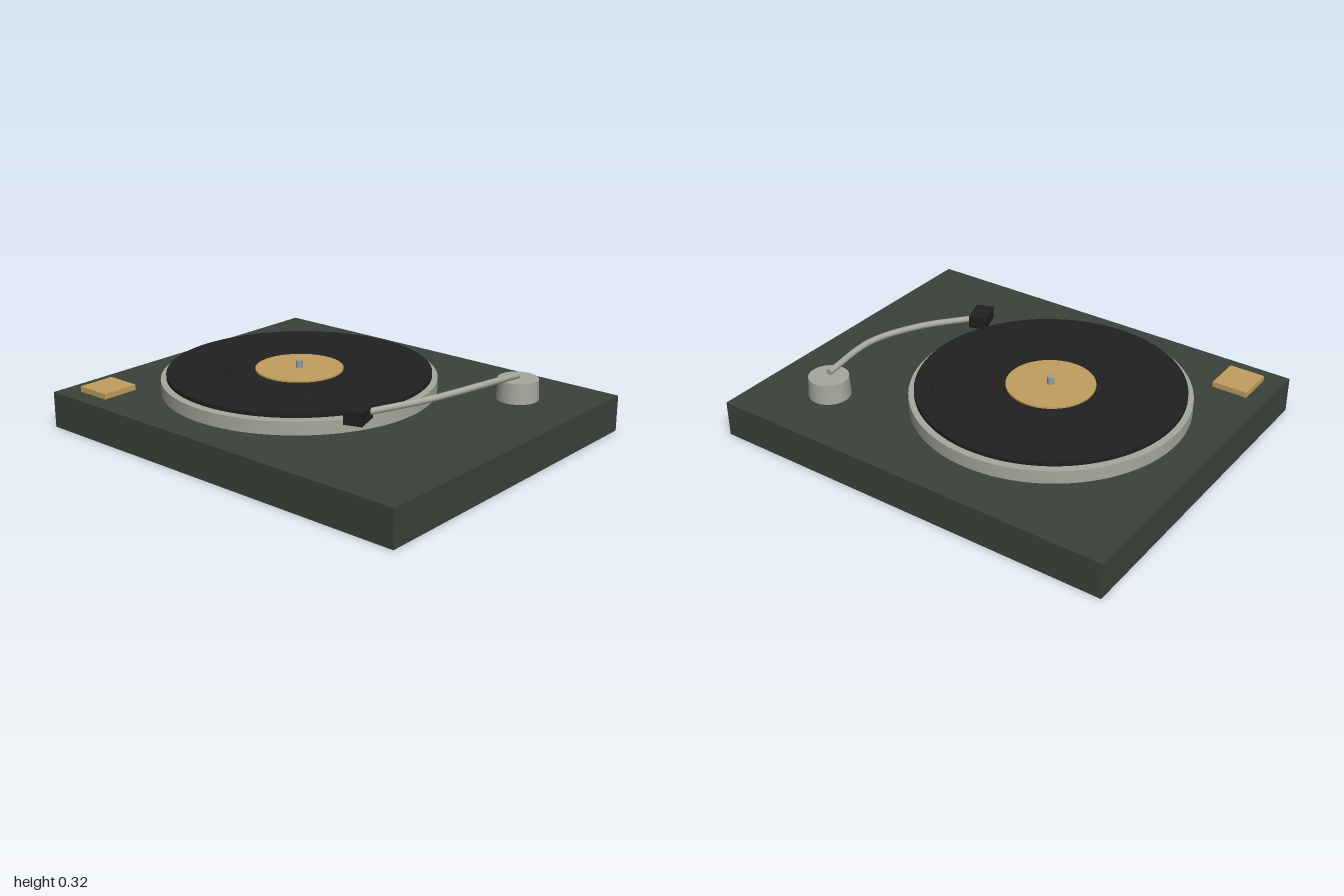
import * as THREE from 'three';

const material = (name, color) => {
  const m = new THREE.MeshStandardMaterial({ color });
  m.name = name;
  return m;
};

export function createModel() {
  const model = new THREE.Group();
  model.name = 'turntable';

  const plinthGreen = material('plinth green', 0x3b423b);
  const metal = material('warm grey metal', 0xa6a89d);
  const vinyl = material('black vinyl', 0x202020);
  const grooveBlack = material('groove black', 0x272727);
  const ochre = material('ochre', 0xc29e5e);
  const steel = material('spindle steel', 0x979c9f);

  const add = (name, geometry, mat, x, y, z) => {
    const mesh = new THREE.Mesh(geometry, mat);
    mesh.name = name;
    mesh.position.set(x, y, z);
    model.add(mesh);
    return mesh;
  };
  // Upright cylinder given by its bottom and top heights
  const disc = (name, rTop, rBottom, y0, y1, x, z, mat, sides = 96) =>
    add(name, new THREE.CylinderGeometry(rTop, rBottom, y1 - y0, sides), mat, x, (y0 + y1) / 2, z);

  // Base and start button
  add('plinth', new THREE.BoxGeometry(2, 0.171, 1.656), plinthGreen, 0, 0.0855, 0);
  add('startButton', new THREE.BoxGeometry(0.172, 0.026, 0.182), ochre, -0.823, 0.184, 0.651);

  // Platter, record, label and spindle share one axis
  const px = -0.194, pz = 0.027;
  disc('platter', 0.642, 0.642, 0.171, 0.233, px, pz, metal);
  disc('record', 0.616, 0.616, 0.24, 0.258, px, pz, vinyl);
  disc('recordLabel', 0.205, 0.205, 0.258, 0.266, px, pz, ochre, 64);
  disc('spindle', 0.017, 0.017, 0.2, 0.3, px, pz, steel, 16);

  // Fine raised rings on the record
  const rings = 15;
  for (let i = 0; i < rings; i++) {
    const radius = 0.235 + (0.325 * i) / (rings - 1);
    const ring = add('groove', new THREE.TorusGeometry(radius, 0.002, 4, 96), grooveBlack, px, 0.2585, pz);
    ring.rotation.x = -Math.PI / 2;
  }

  // Tonearm with its pivot post and cartridge head
  disc('tonearmPivot', 0.093, 0.098, 0.171, 0.267, 0.667, -0.5, metal, 48);
  const path = new THREE.CatmullRomCurve3([
    new THREE.Vector3(0.667, 0.282, -0.495),
    new THREE.Vector3(0.667, 0.307, -0.21),
    new THREE.Vector3(0.585, 0.295, 0.06),
    new THREE.Vector3(0.45, 0.273, 0.3),
  ]);
  add('tonearm', new THREE.TubeGeometry(path, 40, 0.015, 12), metal, 0, 0, 0);
  // Closed ends of the arm
  [[0, -1], [1, 1]].forEach(([t, sign]) => {
    const cap = add('tonearmEnd', new THREE.CircleGeometry(0.015, 12), metal, 0, 0, 0);
    cap.position.copy(path.getPoint(t));
    cap.lookAt(path.getPoint(t).addScaledVector(path.getTangent(t), sign));
  });
  const head = add('cartridgeHead', new THREE.BoxGeometry(0.085, 0.06, 0.13), vinyl, 0.427, 0.268, 0.346);
  head.rotation.y = 0.32;

  return model;
}
